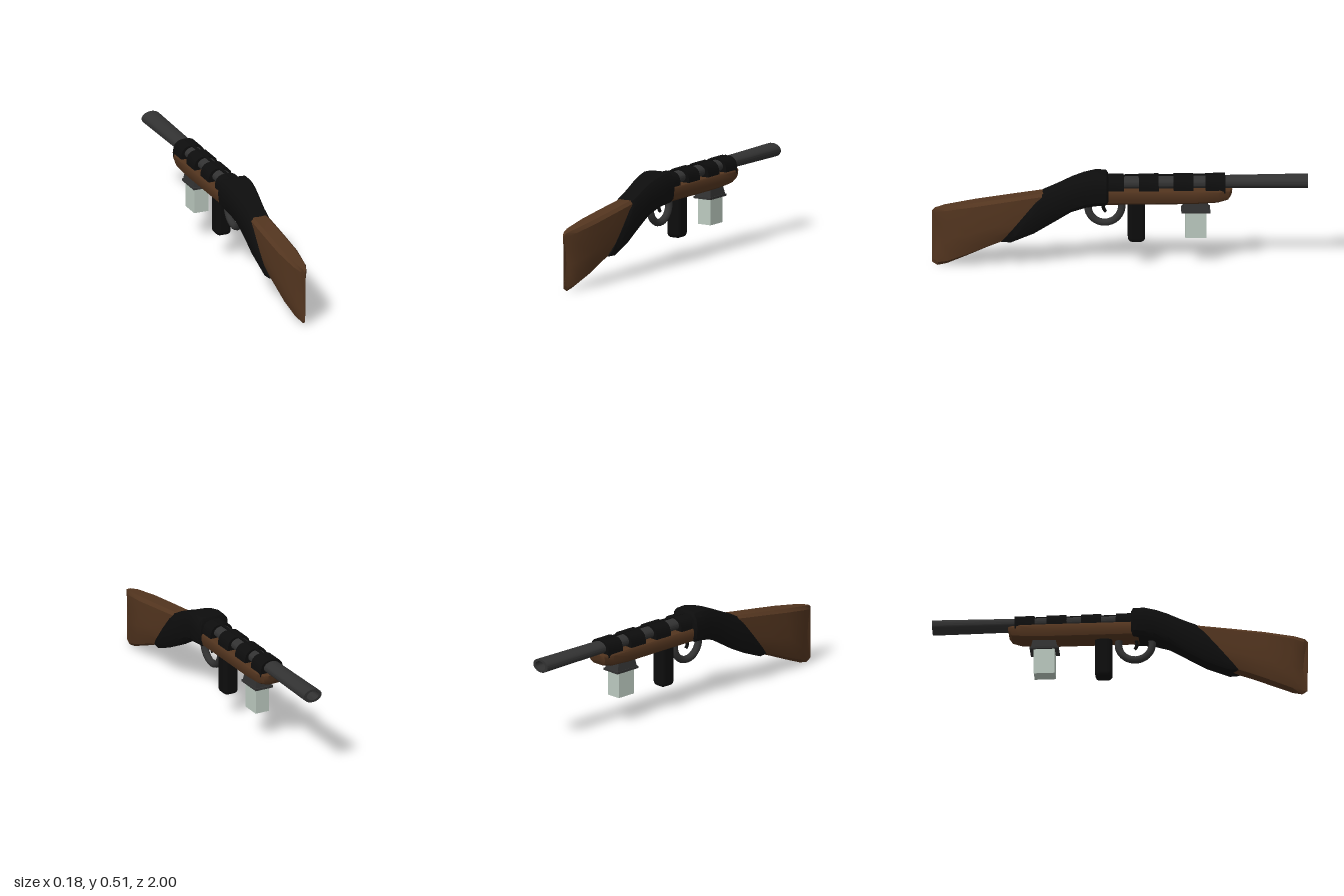
import * as THREE from 'three';
import { toCreasedNormals } from 'three/addons/utils/BufferGeometryUtils.js';
import { RoundedBoxGeometry } from 'three/addons/geometries/RoundedBoxGeometry.js';

const mat = (color) => new THREE.MeshStandardMaterial({ color });
const wood = mat(0x53351f), black = mat(0x0d0d0d), steel = mat(0x323232), glass = mat(0xbccac0);

// Lofts a mirrored half profile [x, t] (bottom to top) through sections
// [zTop, yTop, zBottom, yBottom, halfWidth, hollow], listed towards +z.
function loft(profile, sections, crease = 0.6) {
  const left = [...profile].reverse().filter(([x]) => x > 0).map(([x, t]) => [-x, t]);
  const ring = [...profile, ...left], n = ring.length;
  const pos = [], index = [];
  for (const [zT, yT, zB, yB, w, hollow = 0] of sections) {
    for (const [x, t] of ring) {
      pos.push(x * w, yB + (yT - yB) * t, zB + (zT - zB) * t - hollow * Math.sin(Math.PI * t));
    }
  }
  for (let s = 0; s < sections.length - 1; s++) {
    for (let i = 0; i < n; i++) {
      const a = s * n + i, b = s * n + (i + 1) % n;
      index.push(a, b, b + n, a, b + n, a + n);
    }
  }
  const last = (sections.length - 1) * n;
  for (let i = 1; i < n - 1; i++) {
    index.push(0, i + 1, i, last, last + i, last + i + 1);
  }
  const g = new THREE.BufferGeometry();
  g.setAttribute('position', new THREE.Float32BufferAttribute(pos, 3));
  g.setIndex(index);
  return toCreasedNormals(g, crease);
}

export function createModel() {
  const model = new THREE.Group();
  const add = (name, geometry, material, x = 0, y = 0, z = 0) => {
    const mesh = new THREE.Mesh(geometry, material);
    mesh.name = name;
    mesh.position.set(x, y, z);
    model.add(mesh);
    return mesh;
  };

  // Shoulder stock, tapering to a ridge at the hollow butt
  add('stock', loft([[0, 0], [0.66, 0.06], [0.94, 0.26], [1, 0.45], [1, 0.75], [0.97, 0.94], [0.65, 1]], [
    [0.35, 0.4, 0.5, 0.2, 0.05],
    [0.41, 0.41, 0.6, 0.143, 0.055],
    [0.6, 0.384, 0.7, 0.105, 0.056],
    [0.77, 0.36, 0.81, 0.058, 0.055],
    [0.93, 0.335, 0.92, 0.014, 0.037, 0.012],
    [0.985, 0.322, 0.97, 0.004, 0.016, 0.022],
    [1, 0.308, 0.998, 0.022, 0.002, 0.025],
  ], 0.45), wood);

  // Wrist wrapping the stock with a slanted rear edge
  add('wrist', loft([[0.72, 0], [0.93, 0.13], [1, 0.5], [0.93, 0.83], [0.71, 0.98], [0, 1]], [
    [0.062, 0.497, 0.062, 0.36, 0.082],
    [0.072, 0.512, 0.075, 0.35, 0.092],
    [0.13, 0.514, 0.13, 0.345, 0.091],
    [0.19, 0.502, 0.18, 0.336, 0.083],
    [0.25, 0.482, 0.26, 0.31, 0.074],
    [0.32, 0.45, 0.35, 0.255, 0.068],
    [0.37, 0.428, 0.46, 0.19, 0.068],
    [0.4, 0.416, 0.58, 0.142, 0.067],
    [0.412, 0.41, 0.632, 0.142, 0.058],
  ]), black);

  // Fore-end with a rounded nose
  add('foreEnd', loft([[0.55, 0], [0.88, 0.18], [1, 0.5], [1, 0.9], [0.93, 1]], [
    [-0.597, 0.427, -0.592, 0.39, 0.042],
    [-0.585, 0.427, -0.575, 0.366, 0.06],
    [-0.53, 0.427, -0.52, 0.352, 0.074],
    [-0.4, 0.427, -0.4, 0.345, 0.076],
    [0.1, 0.427, 0.1, 0.345, 0.076],
  ]), wood);

  // Oval barrel with an open bore
  const tube = [[0, -0.1], [0.032, -0.1], [0.033, 0.55], [0.037, 0.98], [0.037, 1], [0.025, 1], [0.023, 0.9], [0, 0.9]];
  const barrelGeometry = new THREE.LatheGeometry(tube.map(([r, y]) => new THREE.Vector2(r, y)), 24);
  barrelGeometry.rotateX(-Math.PI / 2).scale(1.47, 1, 1);
  add('barrel', toCreasedNormals(barrelGeometry, 0.6), steel, 0, 0.457, 0);

  // Bands over the barrel, joined by a thin top rib
  const bandProfile = [[1, 0], [1, 0.45], [0.88, 0.74], [0.67, 0.91], [0.4, 1]];
  for (const [z0, z1] of [[-0.56, -0.455], [-0.39, -0.285], [-0.205, -0.1], [-0.02, 0.09]]) {
    add('barrelBand', loft(bandProfile, [
      [z0, 0.497, z0, 0.41, 0.068],
      [z1, 0.497, z1, 0.41, 0.068],
    ]), black);
  }
  add('topRib', new THREE.BoxGeometry(0.016, 0.006, 0.64), black, 0, 0.496, -0.24);

  // Trigger guard ring and curved trigger
  const guard = new THREE.TorusGeometry(0.09, 0.02, 10, 32).rotateY(Math.PI / 2);
  add('triggerGuard', guard, steel, 0, 0.325, 0.08);
  const triggerPath = new THREE.QuadraticBezierCurve3(
    new THREE.Vector3(0, 0.36, 0.08), new THREE.Vector3(0, 0.32, 0.1), new THREE.Vector3(0, 0.295, 0.075));
  add('trigger', new THREE.TubeGeometry(triggerPath, 8, 0.009, 8), black);

  // Rounded box magazine under the fore-end
  add('magazine', new RoundedBoxGeometry(0.086, 0.24, 0.092, 3, 0.025), black, 0, 0.25, -0.088);

  // Lamp: flared neck, thin plate and glass block
  const neck = new THREE.CylinderGeometry(Math.SQRT1_2, 0.82, 1, 4).rotateY(Math.PI / 4);
  neck.scale(0.086, 0.045, 0.122);
  add('lampNeck', toCreasedNormals(neck, 0.5), steel, 0, 0.328, -0.403);
  add('lampPlate', new THREE.BoxGeometry(0.106, 0.012, 0.154), steel, 0, 0.302, -0.403);
  add('lampGlass', new THREE.BoxGeometry(0.082, 0.142, 0.112), glass, 0, 0.226, -0.403);

  return model;
}
